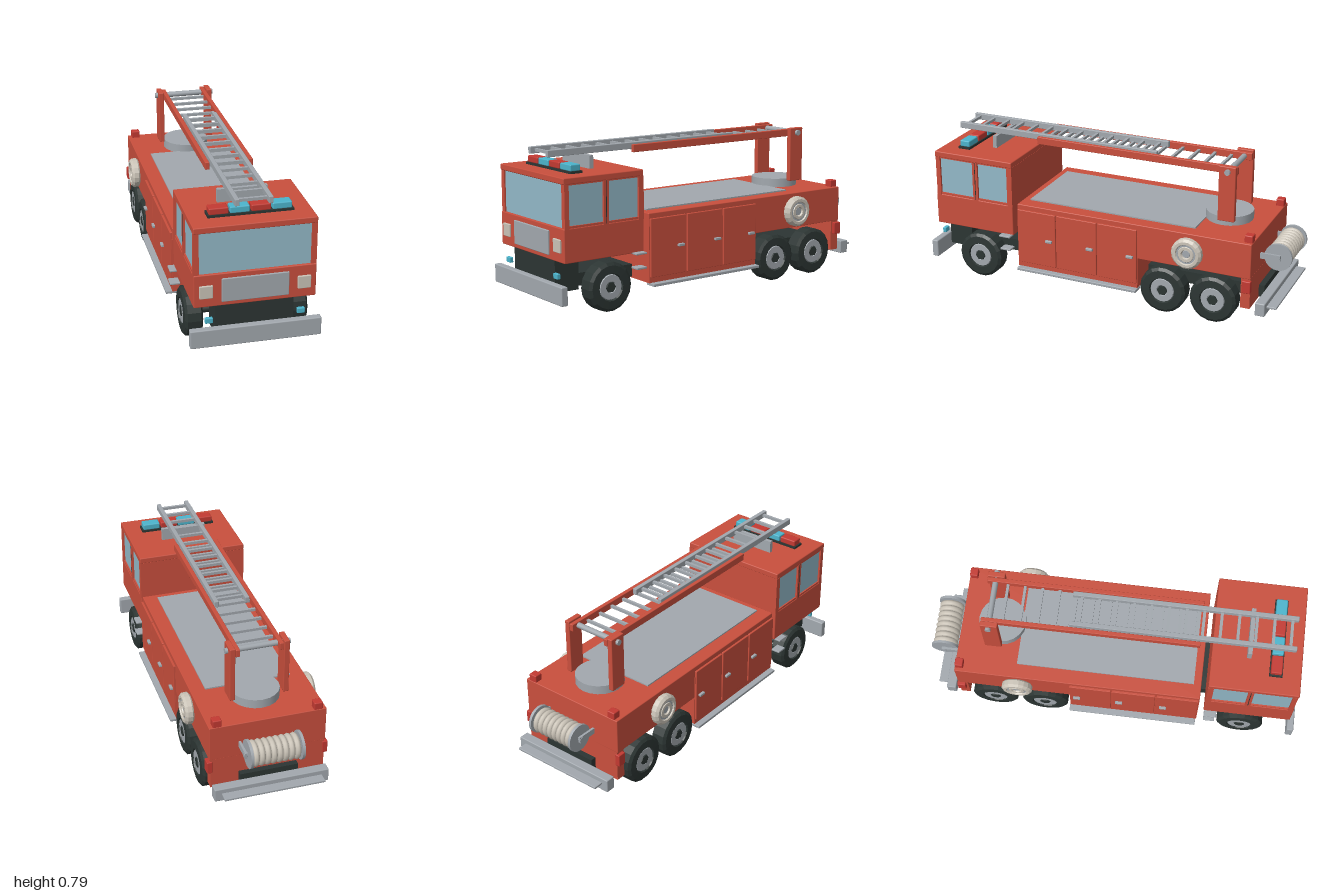
import * as THREE from 'three';
import { RoundedBoxGeometry } from 'three/addons/geometries/RoundedBoxGeometry.js';

const mat = (name, color) => {
  const m = new THREE.MeshStandardMaterial({ color });
  m.name = name;
  return m;
};

export function createModel() {
  const root = new THREE.Group();
  root.name = 'fireTruck';
  const red = mat('body red', 0xc94f3d);
  const lampRed = mat('lamp red', 0xc43a32);
  const grey = mat('metal grey', 0xa2a8ae);
  const dark = mat('rubber dark', 0x2c3533);
  const beige = mat('hose beige', 0xcbc4b8);
  const cyan = mat('lamp cyan', 0x4cb5cd);
  const glass = mat('window glass', 0x93b9c8);

  const add = (name, geo, m, parent = root) => {
    const mesh = new THREE.Mesh(geo, m);
    mesh.name = name;
    parent.add(mesh);
    return mesh;
  };
  // Box from its limits on each axis, with an optional small bevel
  const box = (name, m, [x0, x1], [y0, y1], [z0, z1], bevel = 0) => {
    const s = [x1 - x0, y1 - y0, z1 - z0];
    const geo = bevel ? new RoundedBoxGeometry(...s, 1, bevel) : new THREE.BoxGeometry(...s);
    return add(name, geo.translate((x0 + x1) / 2, (y0 + y1) / 2, (z0 + z1) / 2), m);
  };
  // The same box on both sides
  const pair = (name, m, [x0, x1], y, z, bevel = 0) => {
    box(name + 'Left', m, [x0, x1], y, z, bevel);
    box(name + 'Right', m, [-x1, -x0], y, z, bevel);
  };
  // Faceted turned shape whose axis points to +x
  const turned = (pts, sides) => {
    const geo = new THREE.LatheGeometry(pts.map(p => new THREE.Vector2(...p)), sides)
      .rotateZ(-Math.PI / 2).toNonIndexed();
    geo.computeVertexNormals();
    return geo;
  };
  const rod = (name, m, r, x0, x1, y, z, sides = 10) =>
    add(name, new THREE.CylinderGeometry(r, r, x1 - x0, sides).rotateZ(-Math.PI / 2)
      .translate((x0 + x1) / 2, y, z), m);

  // Chassis and front underbody
  box('chassis', dark, [-0.15, 0.15], [0.115, 0.18], [-0.865, 0.95]);
  box('frontUnderbody', dark, [-0.193, 0.193], [0.11, 0.277], [0.82, 0.955]);

  // Wheels
  const tyreGeo = turned([[0, -0.045], [0.108, -0.045], [0.125, -0.034], [0.125, 0.034],
    [0.11, 0.045], [0.07, 0.047], [0.066, 0.036], [0, 0.036]], 18);
  const hubGeo = turned([[0.066, 0.034], [0.062, 0.043], [0.03, 0.043], [0.027, 0.037], [0, 0.037]], 18);
  const capGeo = turned([[0.029, 0.036], [0.027, 0.046], [0, 0.046]], 6);
  for (const z of [0.705, -0.365, -0.64]) {
    rod('axle', dark, 0.022, -0.23, 0.23, 0.125, z);
    for (const s of [1, -1]) {
      const wheel = new THREE.Group();
      wheel.name = 'wheel';
      wheel.position.set(s * 0.264, 0.125, z);
      if (s < 0) wheel.rotation.y = Math.PI;
      add('tyre', tyreGeo, dark, wheel);
      add('hub', hubGeo, grey, wheel);
      add('hubCap', capGeo, dark, wheel);
      root.add(wheel);
    }
  }

  // Cab shell: lower body, roof, rear wall and pillars around a glass core
  box('cabLower', red, [-0.3, 0.3], [0.275, 0.445], [0.5, 0.965], 0.005);
  box('cabRoof', red, [-0.3, 0.3], [0.658, 0.69], [0.5, 0.965], 0.005);
  box('cabRearWall', red, [-0.3, 0.3], [0.44, 0.66], [0.5, 0.53]);
  box('cabGlass', glass, [-0.289, 0.289], [0.44, 0.66], [0.52, 0.952]);
  pair('frontPillar', red, [0.273, 0.3], [0.44, 0.66], [0.935, 0.96]);
  pair('middlePillar', red, [0.27, 0.3], [0.44, 0.66], [0.707, 0.737]);
  for (const [z0, z1] of [[0.737, 0.935], [0.53, 0.707]]) {
    pair('windowSill', red, [0.28, 0.297], [0.44, 0.455], [z0, z1]);
    pair('windowHead', red, [0.28, 0.297], [0.653, 0.66], [z0, z1]);
  }
  pair('doorSeam', dark, [0.296, 0.3005], [0.445, 0.658], [0.72, 0.724]);

  // Cab front
  box('grille', grey, [-0.165, 0.165], [0.297, 0.42], [0.955, 0.973], 0.004);
  pair('headlight', beige, [0.207, 0.273], [0.323, 0.39], [0.955, 0.974], 0.004);
  pair('indicator', cyan, [0.207, 0.246], [0.19, 0.218], [0.955, 0.975], 0.004);
  box('frontBumper', grey, [-0.324, 0.324], [0.075, 0.17], [0.963, 1], 0.006);
  box('bumperMount', dark, [-0.15, 0.15], [0.115, 0.16], [0.94, 0.965]);
  pair('upperCabStep', grey, [0.28, 0.334], [0.27, 0.28], [0.505, 0.57], 0.003);
  pair('lowerCabStep', grey, [0.28, 0.332], [0.195, 0.206], [0.505, 0.565], 0.003);

  // Roof light bar and ladder rest
  box('lightBarBase', dark, [-0.21, 0.21], [0.688, 0.702], [0.8, 0.868]);
  [-0.155, -0.052, 0.051, 0.154].forEach((x, i) =>
    box('beacon', i % 2 ? cyan : lampRed, [x - 0.048, x + 0.048], [0.7, 0.734], [0.805, 0.863], 0.006));
  box('ladderRest', grey, [-0.125, 0.125], [0.688, 0.757], [0.68, 0.702]);

  // Rear body
  box('rearBody', red, [-0.3, 0.3], [0.275, 0.465], [-0.835, 0.47], 0.004);
  box('lockerBody', red, [-0.302, 0.302], [0.108, 0.4], [-0.225, 0.47]);
  box('deckPlate', grey, [-0.224, 0.224], [0.46, 0.472], [-0.51, 0.43]);
  box('tailPanel', red, [-0.295, 0.295], [0.11, 0.278], [-0.835, -0.785]);
  for (const [z0, z1] of [[0.243, 0.465], [0.006, 0.235], [-0.222, -0.002]]) {
    pair('lockerDoor', red, [0.295, 0.311], [0.137, 0.438], [z0, z1], 0.003);
    pair('doorHandle', grey, [0.305, 0.325], [0.278, 0.292], [z0 + 0.018, z0 + 0.056], 0.003);
  }
  pair('sideStep', grey, [0.27, 0.335], [0.094, 0.109], [-0.228, 0.465], 0.003);

  // Side hose rolls
  const rollGeo = turned([[0.073, 0], [0.082, 0.01], [0.082, 0.034], [0.07, 0.046], [0.056, 0.046],
    [0.05, 0.036], [0.045, 0.036], [0.04, 0.043], [0.026, 0.043], [0.02, 0.03], [0, 0.03]], 18);
  const ringGeo = turned([[0.052, 0.034], [0.052, 0.039], [0.043, 0.039], [0.043, 0.034]], 18);
  const plugGeo = turned([[0.024, 0.028], [0.02, 0.036], [0, 0.036]], 10);
  for (const s of [1, -1]) {
    const roll = new THREE.Group();
    roll.name = 'sideHoseRoll';
    roll.position.set(s * 0.298, 0.367, -0.503);
    if (s < 0) roll.rotation.y = Math.PI;
    add('hoseRoll', rollGeo, beige, roll);
    add('rollRing', ringGeo, grey, roll);
    add('rollPlug', plugGeo, grey, roll);
    root.add(roll);
  }

  // Rear hose reel
  rod('reelDrum', grey, 0.045, -0.12, 0.12, 0.345, -0.925, 16);
  rod('reelShaft', grey, 0.014, -0.155, 0.155, 0.345, -0.925);
  for (const s of [1, -1]) rod('reelDisc', grey, 0.073, s * 0.13 - 0.007, s * 0.13 + 0.007, 0.345, -0.925, 20);
  const coilGeo = new THREE.TorusGeometry(0.052, 0.0155, 8, 20).rotateY(Math.PI / 2);
  for (let i = 0; i < 8; i++)
    add('hoseCoil', coilGeo, beige).position.set(-0.105 + i * 0.03, 0.345, -0.925);
  pair('reelBracket', grey, [0.14, 0.152], [0.33, 0.361], [-0.94, -0.83]);

  // Rear bumper and tail lamps
  box('rearBumper', grey, [-0.296, 0.296], [0.08, 0.15], [-0.915, -0.863], 0.005);
  box('rearFootStep', grey, [-0.26, 0.26], [0.113, 0.125], [-0.965, -0.91], 0.003);
  pair('deckLamp', lampRed, [0.236, 0.281], [0.46, 0.502], [-0.833, -0.79], 0.005);
  pair('tailLamp', lampRed, [0.285, 0.313], [0.2, 0.266], [-0.84, -0.795], 0.004);

  // Turntable and ladder mast
  add('turntable', new THREE.CylinderGeometry(0.125, 0.125, 0.048, 20).toNonIndexed(), grey)
    .position.set(0, 0.488, -0.616);
  pair('mastPost', red, [0.124, 0.152], [0.5, 0.795], [-0.69, -0.6], 0.004);
  rod('mastPivot', grey, 0.015, -0.166, 0.166, 0.768, -0.648);

  // Outer ladder section
  pair('outerLadderRail', red, [0.1, 0.122], [0.748, 0.787], [-0.69, 0.435], 0.003);
  for (let i = 0; i < 12; i++)
    box('outerRung', grey, [-0.105, 0.105], [0.756, 0.77], [-0.588 + i * 0.09, -0.574 + i * 0.09]);

  // Inner ladder section
  pair('innerLadderRail', grey, [0.07, 0.093], [0.762, 0.796], [-0.24, 0.922], 0.003);
  for (let i = 0; i < 13; i++)
    box('innerRung', grey, [-0.075, 0.075], [0.772, 0.787], [-0.198 + i * 0.09, -0.183 + i * 0.09]);

  return root;
}
